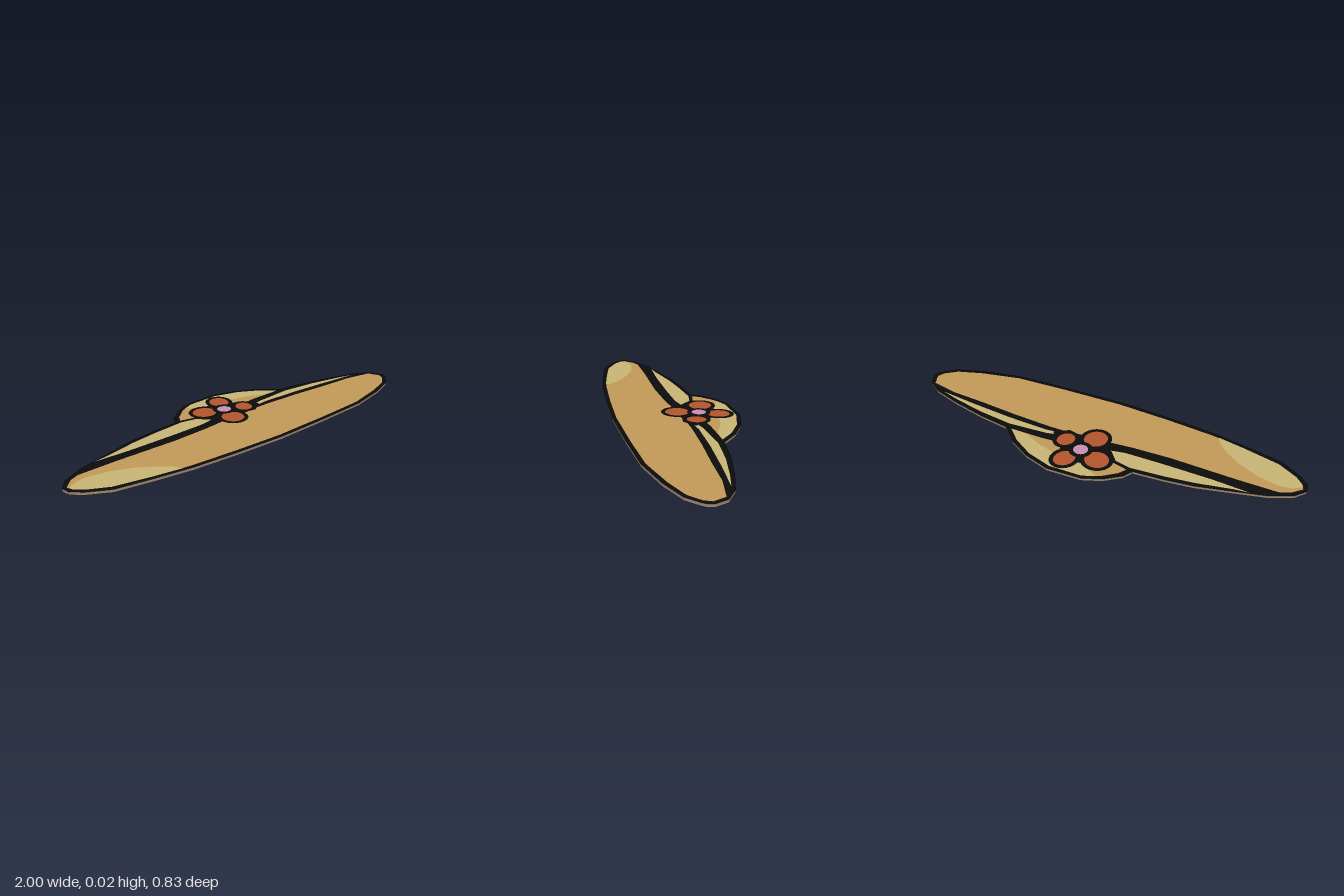
import * as THREE from 'three';

const mat = (name, color) => new THREE.MeshStandardMaterial({ name, color });

// Flat points are [x, z] in hundredths of a unit.
const makeShape = (pts, sign) =>
  new THREE.Shape(pts.map(([x, z]) => new THREE.Vector2(x / 100, sign * z / 100)));

const ellipse = (cx, cz, rx, rz, n = 24) =>
  Array.from({ length: n }, (_, i) => {
    const a = (i / n) * Math.PI * 2;
    return [cx + rx * Math.cos(a), cz + rz * Math.sin(a)];
  });

export function createModel() {
  const hat = new THREE.Group();
  hat.name = 'flatHat';

  const black = mat('outlineBlack', 0x0c0c0c);
  const tan = mat('strawTan', 0xc39a58);
  const pale = mat('paleStraw', 0xc9b576);
  const orange = mat('petalOrange', 0xb4562d);
  const pink = mat('flowerPink', 0xc691b2);
  const edge = mat('edgeBrown', 0x9a8674);

  const bottom = 0.0015, top = 0.0165, step = 0.0004;

  // Slab: black faces form the outlines, brown rim around it
  const outline = [
    [-100, 32], [-97.5, 25.5], [-89, 17], [-75.5, 8], [-61, -1.5], [-48, -8], [-34, -14],
    [-33, -19.5], [-27.5, -28], [-20, -34.5], [-3.5, -41], [11, -41.5], [24, -39], [35, -34],
    [51, -37], [70, -39], [86, -39.5], [95, -37], [99.5, -32], [100, -29], [99, -26.5],
    [95, -19.5], [83, -10], [64.5, 1], [38, 11.5], [8, 22.5], [-18.5, 30], [-42.5, 36],
    [-61, 39], [-80, 41.5], [-92, 39], [-98, 36],
  ];
  const slabGeo = new THREE.ExtrudeGeometry(makeShape(outline, -1), {
    depth: top - bottom, bevelEnabled: false,
  });
  slabGeo.rotateX(-Math.PI / 2).translate(0, bottom, 0);
  const slab = new THREE.Mesh(slabGeo, [black, edge]);
  slab.name = 'hatSlab';
  hat.add(slab);

  // Paint one region on both the upper and the lower face
  function paint(name, material, level, pts) {
    for (const up of [1, -1]) {
      const geo = new THREE.ShapeGeometry(makeShape(pts, -up));
      geo.rotateX(-up * Math.PI / 2);
      geo.translate(0, up > 0 ? top + level * step : bottom - level * step, 0);
      const mesh = new THREE.Mesh(geo, material);
      mesh.name = name + (up > 0 ? 'Top' : 'Bottom');
      hat.add(mesh);
    }
  }

  // Brim
  paint('brim', tan, 1, [
    [-98, 32], [-95, 26], [-91, 22.5], [-72, 16], [-40, 6], [-22, -1], [-11, -6], [0, -10],
    [12, -15.5], [19, -18], [40, -24], [60, -29], [78, -34], [93, -36], [97.5, -31], [97, -27],
    [93, -20.5], [82, -12], [64, -1], [37.5, 9.5], [7.5, 20.5], [-19, 28], [-43, 34],
    [-61, 37], [-80, 39], [-91, 37], [-96, 34.5],
  ]);
  paint('brimHighlight', pale, 2, [
    [-97, 33], [-94, 29], [-88, 26], [-77, 24.8], [-66, 26], [-57, 28.5], [-50, 32],
    [-47, 35], [-61, 37], [-80, 39], [-91, 37], [-96, 34.5],
  ]);
  paint('rearBrimRight', pale, 1, [
    [-82, 13], [-75, 9.5], [-60, 0.5], [-47, -6], [-31, -13], [-23, -14], [-16, -10],
    [-22, -6.5], [-40, 0], [-64, 8],
  ]);
  paint('rearBrimLeft', pale, 1, [
    [12, -18], [13, -20.5], [17, -23], [36, -31], [55, -35], [72, -37], [83, -37.7],
    [62, -33], [40, -27.5], [20, -21.5],
  ]);

  // Crown
  paint('crown', tan, 1, [
    [-31, -15], [-30, -19.5], [-25.5, -27], [-19, -33], [-3, -39], [11, -39.5], [23, -37],
    [32, -33], [15, -27], [-5, -18], [-22, -16],
  ]);
  paint('crownHighlight', pale, 2, [
    [-24, -28.5], [-19, -33], [-3, -39], [11, -39.5], [23, -37], [32, -33], [24, -30.5],
    [12, -31.5], [-5, -30], [-14, -27],
  ]);

  // Flower: black backing, four petals and a round centre
  const petals = [
    ['Rear', -4, -30, 5, 5.8],
    ['Right', -16, -20, 6.2, 5.8],
    ['Left', 6, -19.5, 4.3, 4.9],
    ['Front', -4.5, -9, 5.8, 6.2],
  ];
  paint('flowerBacking', black, 3, ellipse(-4.8, -19.8, 10.5, 10));
  paint('flowerSpike', black, 3, [[3, -26], [15, -20], [10, -13], [2, -12]]);
  for (const [side, x, z, rx, rz] of petals) {
    paint('petalOutline' + side, black, 3, ellipse(x, z, rx + 2.1, rz + 2.1));
    paint('petal' + side, orange, 4, ellipse(x, z, rx, rz));
  }
  paint('flowerCentreOutline', black, 5, ellipse(-5, -20, 6, 6));
  paint('flowerCentre', pink, 6, ellipse(-5, -20, 3.7, 3.7));

  return hat;
}
